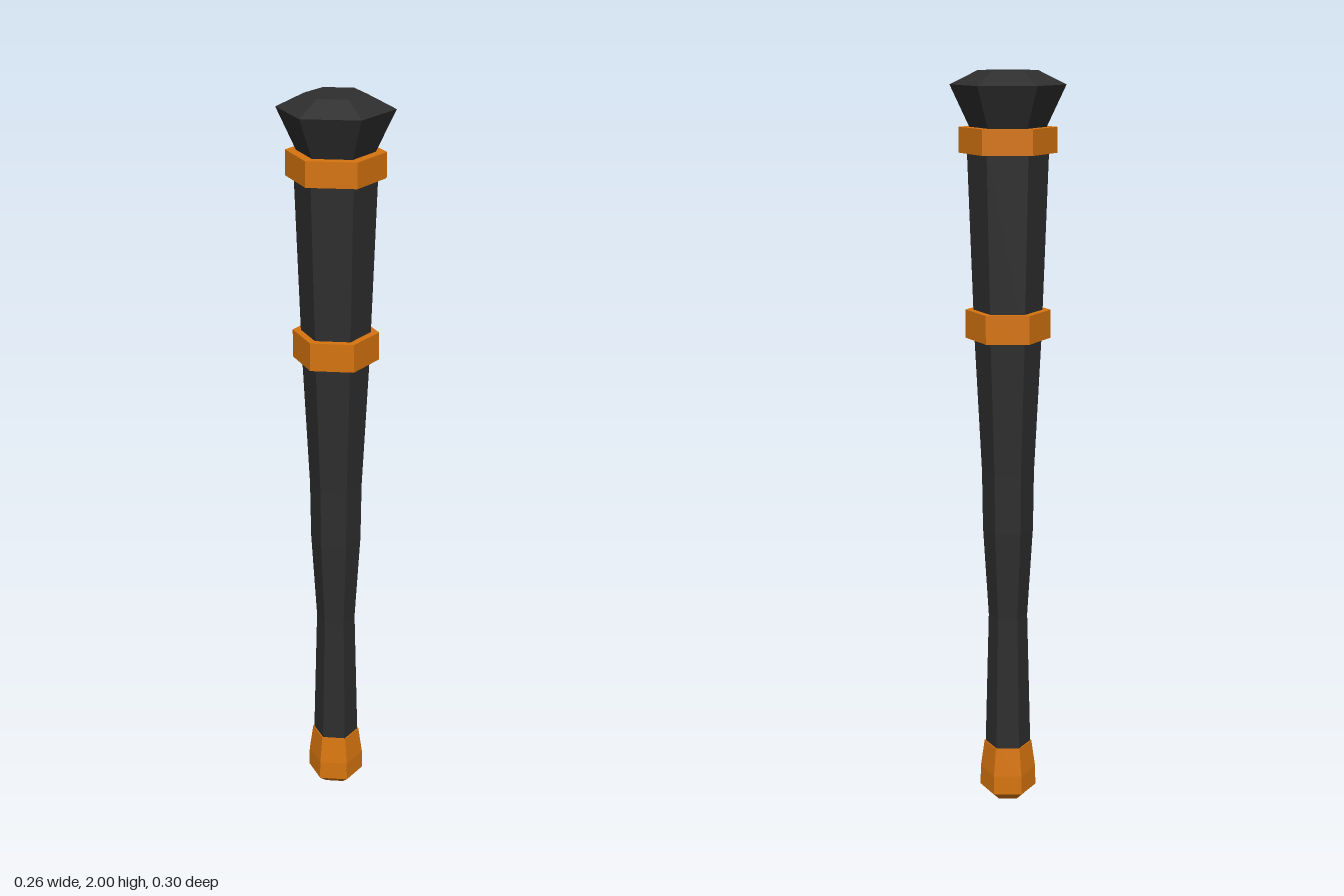
import * as THREE from 'three';

export function createModel() {
  const group = new THREE.Group();
  const black = new THREE.MeshStandardMaterial({ color: 0x2e2e2e, flatShading: true });
  black.name = 'charcoal';
  const orange = new THREE.MeshStandardMaterial({ color: 0xd6740f, flatShading: true });
  orange.name = 'burnt orange';

  // Six-sided part from [radius, height] pairs, listed bottom to top, corners on the z axis
  function hexPart(name, profile, material) {
    const points = profile.map(([r, y]) => new THREE.Vector2(r, y));
    const geometry = new THREE.LatheGeometry(points, 6).toNonIndexed();
    geometry.computeVertexNormals();
    const mesh = new THREE.Mesh(geometry, material);
    mesh.name = name;
    group.add(mesh);
  }

  // Tapered shaft, narrowest at the grip
  hexPart('shaft', [
    [0, 0.15], [0.063, 0.15], [0.053, 0.54], [0.068, 0.79],
    [0.07, 0.95], [0.088, 1.31], [0.105, 1.8], [0.097, 1.86], [0, 1.86],
  ], black);

  // Flared head with a bevelled top
  hexPart('head', [[0, 1.85], [0.094, 1.85], [0.148, 1.965], [0.077, 2], [0, 2]], black);

  // Pommel with a bevelled foot
  hexPart('pommel', [[0, 0], [0.05, 0], [0.078, 0.025], [0.077, 0.08], [0.066, 0.16], [0, 0.16]], orange);

  // Two bands around the shaft
  for (const [name, r, bottom, top] of [['upperBand', 0.126, 1.795, 1.86], ['lowerBand', 0.112, 1.315, 1.39]]) {
    hexPart(name, [[0.07, bottom], [r, bottom], [r, top], [0.07, top]], orange);
  }

  return group;
}
